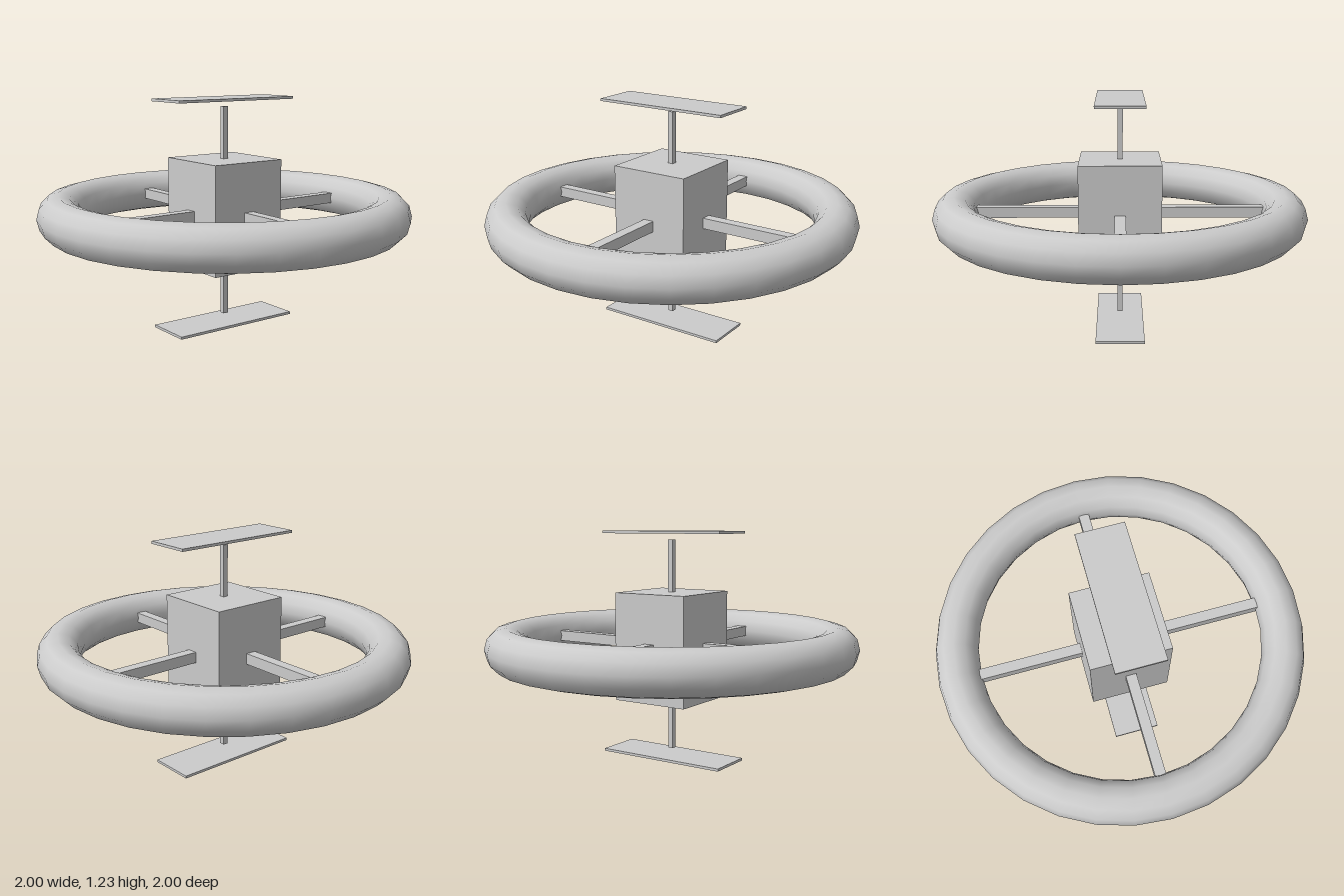
import * as THREE from 'three';

const MID = 0.617; // height of the ring plane

export function createModel() {
  const group = new THREE.Group();
  const material = new THREE.MeshStandardMaterial({ color: 0xcccccc });

  const add = (name, geometry, x, y, z) => {
    const mesh = new THREE.Mesh(geometry, material);
    mesh.name = name;
    mesh.position.set(x, y, z);
    group.add(mesh);
    return mesh;
  };

  // Habitat ring, lying flat
  const ring = new THREE.TorusGeometry(0.884, 0.116, 12, 32).rotateX(Math.PI / 2);
  add('ring', ring, 0, MID, 0);

  // Central hub
  add('hub', new THREE.BoxGeometry(0.435, 0.582, 0.435), 0, MID, 0);

  // Four spokes from the hub into the ring
  const inner = 0.21, outer = 0.79;
  for (let i = 0; i < 4; i++) {
    const a = (i * Math.PI) / 2;
    const r = (inner + outer) / 2;
    const spoke = add('spoke', new THREE.BoxGeometry(outer - inner, 0.058, 0.058),
      Math.cos(a) * r, MID, -Math.sin(a) * r);
    spoke.rotation.y = a;
  }

  // Mast and panel above and below the hub
  for (const s of [1, -1]) {
    add(s > 0 ? 'upperMast' : 'lowerMast', new THREE.BoxGeometry(0.029, 0.29, 0.029), 0, MID + s * 0.425, 0);
    add(s > 0 ? 'upperPanel' : 'lowerPanel', new THREE.BoxGeometry(0.744, 0.014, 0.256), 0, MID + s * 0.61, 0);
  }
  return group;
}
